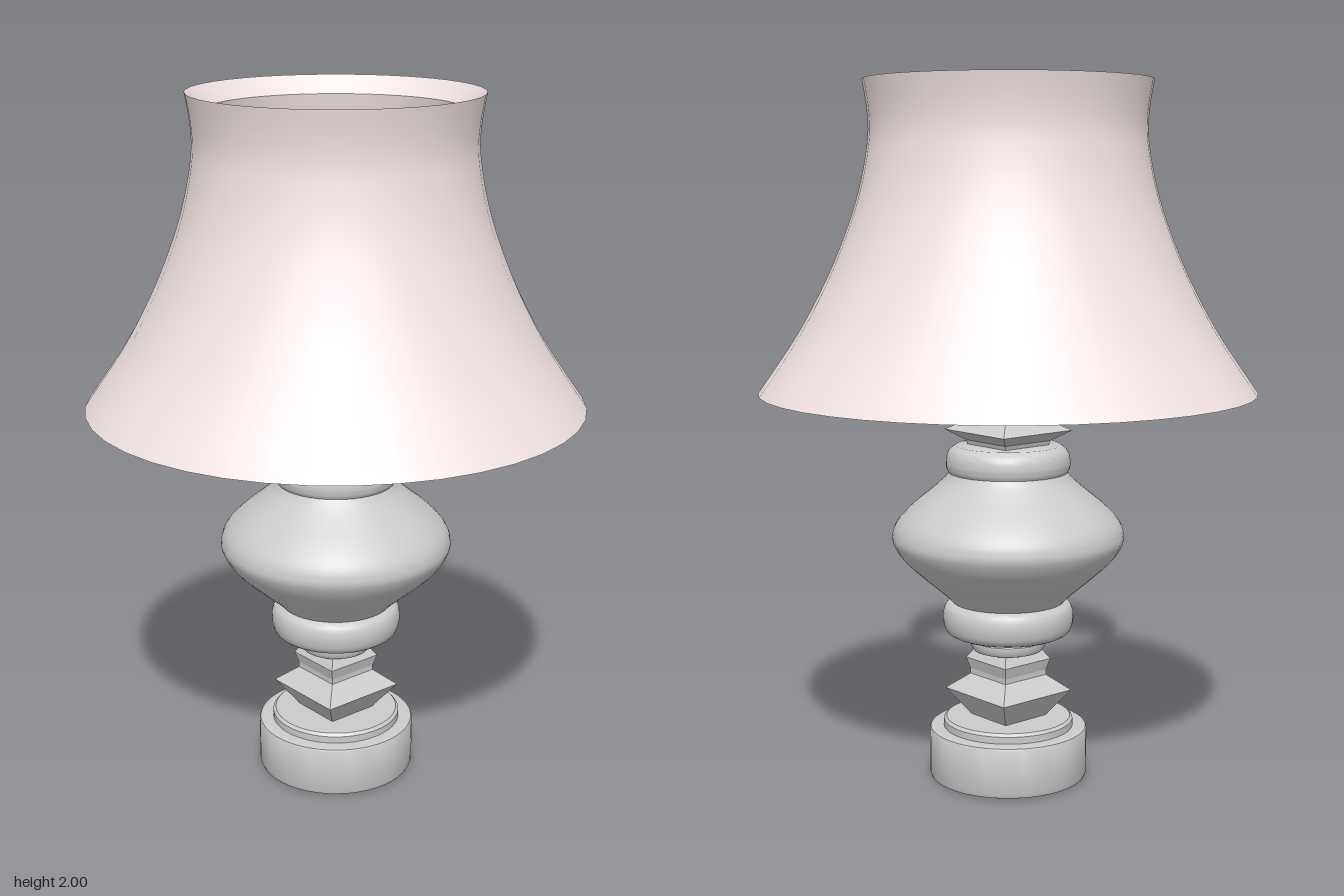
import * as THREE from 'three';
import { toCreasedNormals } from 'three/addons/utils/BufferGeometryUtils.js';

const grey = new THREE.MeshStandardMaterial({ color: 0xcccccc });
const facetedGrey = new THREE.MeshStandardMaterial({ color: 0xcccccc, flatShading: true });
const shadeCloth = new THREE.MeshStandardMaterial({ color: 0xf3e4e4, side: THREE.DoubleSide });

const toPoints = (pairs) => pairs.map(([r, y]) => new THREE.Vector2(r, y));

// Smooth curve through [radius, height] pairs
const smooth = (pairs, steps) =>
  new THREE.SplineCurve(toPoints(pairs)).getPoints(steps).map((p) => [p.x, p.y]);

function addTurned(group, name, pairs, material = grey, segments = 48) {
  const geometry = toCreasedNormals(new THREE.LatheGeometry(toPoints(pairs), segments), 0.6);
  const mesh = new THREE.Mesh(geometry, material);
  mesh.name = name;
  group.add(mesh);
}

// Square section: a four-sided lathe whose profile gives half widths
function addSquare(group, name, pairs) {
  const points = toPoints(pairs.map(([w, y]) => [w * Math.SQRT2, y]));
  const mesh = new THREE.Mesh(new THREE.LatheGeometry(points, 4, Math.PI / 4), facetedGrey);
  mesh.name = name;
  group.add(mesh);
}

function addRod(group, name, from, to, radius) {
  const path = new THREE.LineCurve3(from, to);
  const mesh = new THREE.Mesh(new THREE.TubeGeometry(path, 1, radius, 8), grey);
  mesh.name = name;
  group.add(mesh);
}

export function createModel() {
  const lamp = new THREE.Group();
  lamp.name = 'tableLamp';

  // Stepped round foot
  addTurned(lamp, 'foot', [
    [0, 0], [0.215, 0], [0.225, 0.004], [0.229, 0.014], [0.229, 0.142],
    [0.226, 0.148], [0.218, 0.15], [0.188, 0.15], [0.188, 0.17], [0.18, 0.178], [0, 0.178],
  ]);

  // Square spindles below and above the body
  addSquare(lamp, 'lowerSpindle', [
    [0, 0.175], [0.075, 0.175], [0.13, 0.255], [0.078, 0.3], [0.078, 0.315],
    [0.087, 0.348], [0.07, 0.375], [0, 0.375],
  ]);
  addSquare(lamp, 'upperSpindle', [
    [0, 0.97], [0.08, 0.97], [0.086, 0.99], [0.13, 1.02], [0.078, 1.05],
    [0.078, 1.06], [0.085, 1.08], [0.06, 1.1], [0, 1.1],
  ]);

  // Small collar and rounded ring under the body
  addTurned(lamp, 'lowerCollar', [
    [0, 0.372], [0.085, 0.372], [0.1, 0.377], [0.108, 0.39], [0.108, 0.405],
    [0.1, 0.415], [0.1, 0.425], [0, 0.425],
  ]);
  addTurned(lamp, 'lowerRing', [
    [0, 0.42],
    ...smooth([[0.15, 0.42], [0.178, 0.434], [0.188, 0.462], [0.188, 0.49], [0.18, 0.512], [0.165, 0.522]], 14),
    [0, 0.522],
  ]);

  // Bulbous body with a rounded shoulder ring
  addTurned(lamp, 'body', [
    [0, 0.515],
    ...smooth([
      [0.155, 0.515], [0.19, 0.55], [0.245, 0.597], [0.3, 0.648], [0.328, 0.69], [0.333, 0.72],
      [0.318, 0.758], [0.275, 0.803], [0.22, 0.848], [0.185, 0.88], [0.17, 0.9],
    ], 36),
    [0, 0.9],
  ]);
  addTurned(lamp, 'shoulderRing', [
    [0, 0.895],
    ...smooth([[0.168, 0.895], [0.177, 0.912], [0.178, 0.935], [0.171, 0.96], [0.15, 0.977]], 12),
    [0, 0.978],
  ]);

  // Stem ending in a ball
  const ball = [];
  for (let i = 0; i <= 8; i++) {
    const a = -Math.PI / 3 + (i / 8) * (Math.PI * 5) / 6;
    ball.push([Math.max(0, 0.052 * Math.cos(a)), 1.336 + 0.052 * Math.sin(a)]);
  }
  addTurned(lamp, 'stem', [[0, 1.09], [0.058, 1.09], [0.058, 1.285], [0.05, 1.296], ...ball], grey, 24);

  // Four rods carrying the shade
  for (let i = 0; i < 4; i++) {
    const a = (i * Math.PI) / 2;
    const at = (r, y) => new THREE.Vector3(r * Math.cos(a), y, r * Math.sin(a));
    addRod(lamp, 'shadeRod' + (i + 1), at(0.03, 1.31), at(0.408, 1.62), 0.009);
  }

  // Flared shade: curved outside, bevelled top lip, two-part lining
  addTurned(lamp, 'shade', [
    ...smooth([
      [0.705, 1.132], [0.6, 1.285], [0.535, 1.4], [0.487, 1.5], [0.44, 1.62],
      [0.411, 1.72], [0.394, 1.81], [0.389, 1.87], [0.394, 1.935], [0.405, 2],
    ], 30),
    [0.357, 1.95], [0.435, 1.46], [0.705, 1.132],
  ], shadeCloth, 40);

  return lamp;
}
